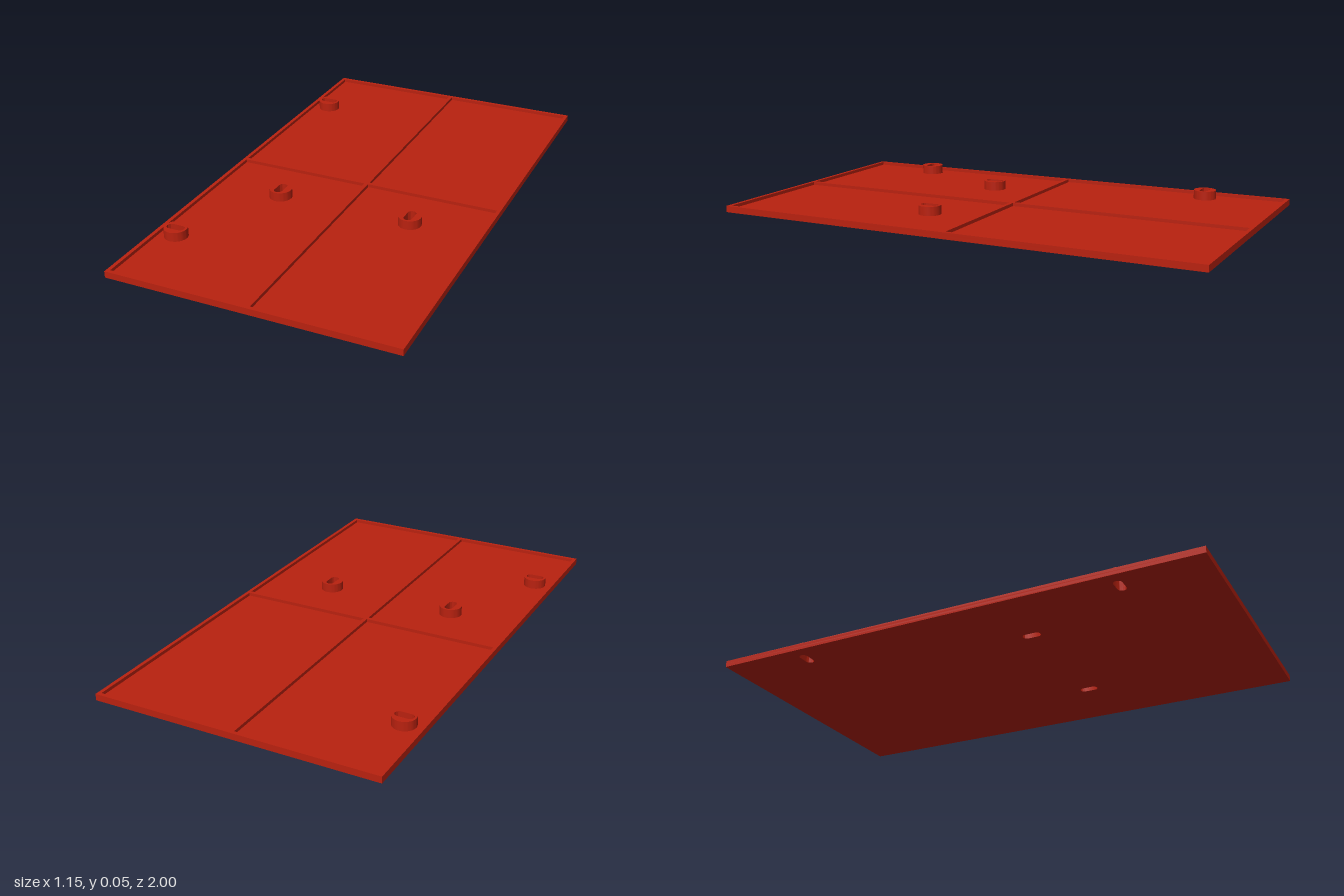
import * as THREE from 'three';
import { toCreasedNormals } from 'three/addons/utils/BufferGeometryUtils.js';

const HALF_W = 0.573, HALF_L = 1, HEIGHT = 0.026, FLOOR = 0.013;
const RIM = 0.015, RIB = 0.008; // rim width, half rib width
const BOSS_R = 0.046, BOSS_TOP = 0.05;
const SLOT_R = 0.017, SLOT_HALF = 0.02; // end radius, half distance between end centres

// x, z and slot direction of each mounting boss
const BOSSES = [
  { x: -0.49, z: -0.663, alongX: true },
  { x: -0.49, z: 0.663, alongX: true },
  { x: -0.279, z: 0.223, alongX: false },
  { x: 0.279, z: 0.223, alongX: false },
];

function rectangle(Type, x0, y0, x1, y1) {
  return new Type([[x0, y0], [x1, y0], [x1, y1], [x0, y1]].map(([x, y]) => new THREE.Vector2(x, y)));
}

// Slot outline with round ends
function slot({ x, z, alongX }) {
  const path = new THREE.Path(), y = -z, q = Math.PI / 2;
  const dx = alongX ? SLOT_HALF : 0, dy = alongX ? 0 : SLOT_HALF;
  const start = alongX ? -q : 0;
  path.absarc(x + dx, y + dy, SLOT_R, start, start + Math.PI, false);
  path.absarc(x - dx, y - dy, SLOT_R, start + Math.PI, start + 2 * Math.PI, false);
  path.closePath();
  return path;
}

// Plan shape extruded upwards from y0 to y1
function slab(shape, y0, y1) {
  const g = new THREE.ExtrudeGeometry(shape, { depth: y1 - y0, bevelEnabled: false, curveSegments: 20 });
  g.rotateX(-Math.PI / 2).translate(0, y0, 0);
  return toCreasedNormals(g, 0.6);
}

export function createModel() {
  const group = new THREE.Group();
  const red = new THREE.MeshStandardMaterial({ color: 0xb9210f });
  red.name = 'red';
  const add = (name, geometry) => {
    const mesh = new THREE.Mesh(geometry, red);
    mesh.name = name;
    group.add(mesh);
  };

  // Base panel pierced by the slots
  const floor = rectangle(THREE.Shape, -HALF_W, -HALF_L, HALF_W, HALF_L);
  BOSSES.forEach((b) => floor.holes.push(slot(b)));
  add('basePanel', slab(floor, 0, FLOOR));

  // Raised rim and cross ribs around four shallow bays
  const frame = rectangle(THREE.Shape, -HALF_W, -HALF_L, HALF_W, HALF_L);
  for (const sx of [-1, 1]) {
    for (const sy of [-1, 1]) {
      frame.holes.push(rectangle(THREE.Path, sx * RIB, sy * RIB, sx * (HALF_W - RIM), sy * (HALF_L - RIM)));
    }
  }
  add('rimAndRibs', slab(frame, FLOOR, HEIGHT));

  // Round slotted bosses
  BOSSES.forEach((b, i) => {
    const ring = new THREE.Shape();
    ring.absarc(b.x, -b.z, BOSS_R, 0, Math.PI * 2, false);
    ring.holes.push(slot(b));
    add(`slottedBoss${i + 1}`, slab(ring, FLOOR, BOSS_TOP));
  });

  return group;
}
